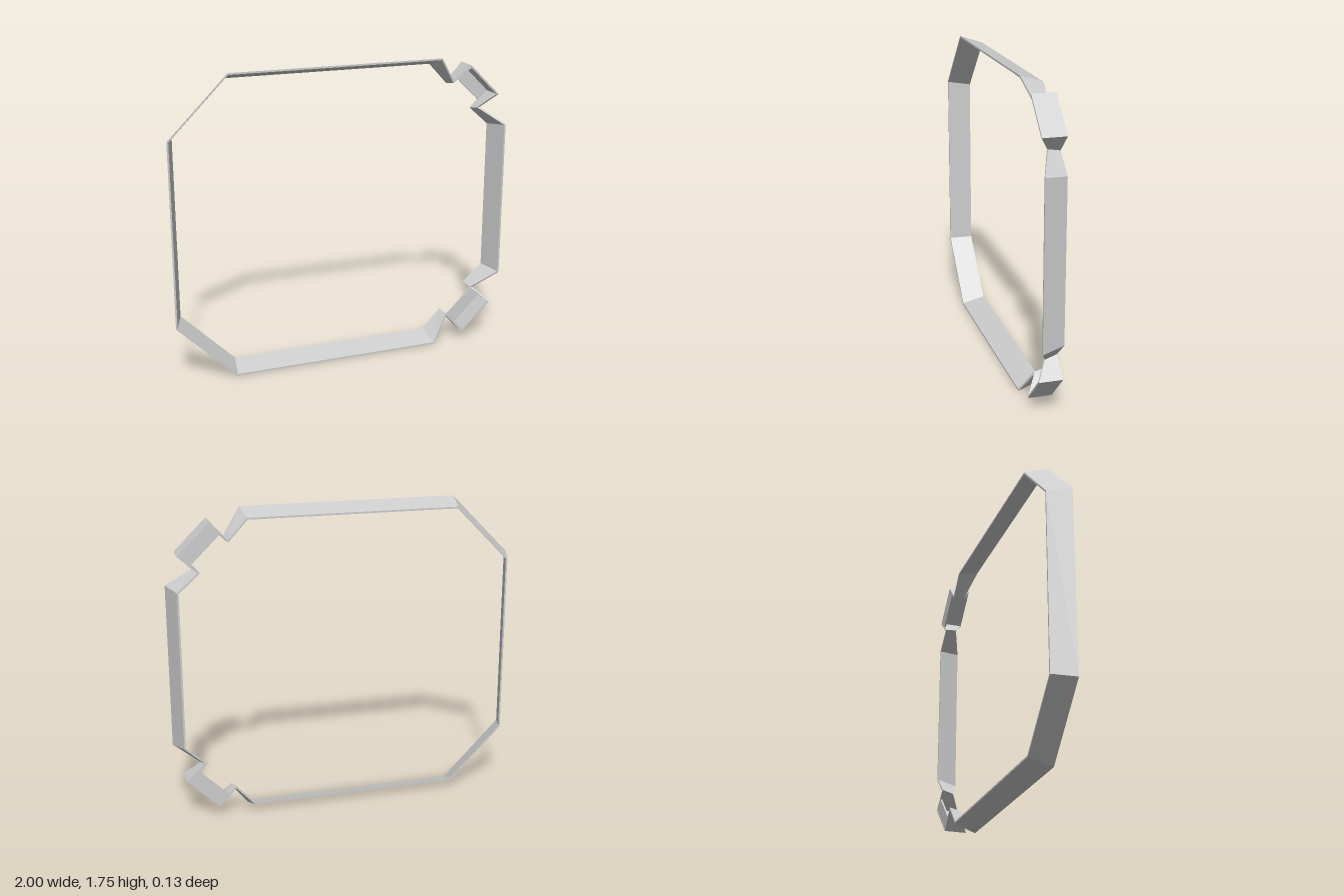
import * as THREE from 'three';

const HEIGHT = 1.752, DEPTH = 0.065, WALL = 0.01;

// Upper half of the band, clockwise: front x, y, z then back x, y
const upperHalf = [
  [-1, 1.41, DEPTH, -0.955, 1.395],
  [-0.66, HEIGHT, DEPTH, -0.642, 1.71],
  [0.58, HEIGHT, DEPTH, 0.563, 1.71],
  [0.683, 1.608, 0.005, 0.668, 1.597], // notch
  [0.765, 1.70, DEPTH, 0.765, 1.70], // corner tab
  [0.945, 1.522, DEPTH, 0.945, 1.522],
  [0.855, 1.44, 0.005, 0.84, 1.425], // notch
  [1, 1.34, DEPTH, 0.953, 1.325],
];

// Mitred inward offset of a clockwise polygon
function inset(points, distance) {
  const n = points.length;
  return points.map((p, i) => {
    const a = p.clone().sub(points[(i + n - 1) % n]).normalize();
    const b = points[(i + 1) % n].clone().sub(p).normalize();
    const na = new THREE.Vector2(a.y, -a.x), nb = new THREE.Vector2(b.y, -b.x);
    const miter = na.clone().add(nb).multiplyScalar(distance / (1 + na.dot(nb)));
    return p.clone().add(miter);
  });
}

// Thin folded band: sweep a four-cornered wall section round the loop
function bandGeometry() {
  const lower = upperHalf.map(([x, y, z, u, v]) => [x, HEIGHT - y, z, u, HEIGHT - v]).reverse();
  const path = [...upperHalf, ...lower];
  const front = path.map(p => new THREE.Vector2(p[0], p[1]));
  const back = path.map(p => new THREE.Vector2(p[3], p[4]));
  const innerFront = inset(front, WALL), innerBack = inset(back, WALL);
  const sections = path.map((p, i) => [
    [front[i].x, front[i].y, p[2]],
    [back[i].x, back[i].y, -DEPTH],
    [innerBack[i].x, innerBack[i].y, -DEPTH],
    [innerFront[i].x, innerFront[i].y, p[2]],
  ]);
  const positions = [];
  sections.forEach((s, i) => {
    const t = sections[(i + 1) % sections.length];
    for (let k = 0; k < 4; k++) {
      const m = (k + 1) % 4;
      positions.push(...s[k], ...t[k], ...t[m], ...s[k], ...t[m], ...s[m]);
    }
  });
  const geometry = new THREE.BufferGeometry();
  geometry.setAttribute('position', new THREE.Float32BufferAttribute(positions, 3));
  geometry.computeVertexNormals();
  return geometry;
}

// Flat plate closing the back of a corner tab
function tabPlateGeometry(flip) {
  const corners = [[0.76, 1.695], [0.94, 1.522], [0.882, 1.462], [0.705, 1.635]];
  const shape = new THREE.Shape(corners.map(([x, y]) => new THREE.Vector2(x, flip ? HEIGHT - y : y)));
  const geometry = new THREE.ExtrudeGeometry(shape, { depth: WALL, bevelEnabled: false });
  return geometry.translate(0, 0, -DEPTH + 0.001);
}

export function createModel() {
  const model = new THREE.Group();
  model.name = 'bezelFrame';
  const grey = new THREE.MeshStandardMaterial({ color: 0xcccccc, flatShading: true });
  grey.name = 'lightGrey';

  const add = (name, geometry) => {
    const mesh = new THREE.Mesh(geometry, grey);
    mesh.name = name;
    model.add(mesh);
  };
  add('frameBand', bandGeometry());
  add('upperTabPlate', tabPlateGeometry(false));
  add('lowerTabPlate', tabPlateGeometry(true));
  return model;
}
